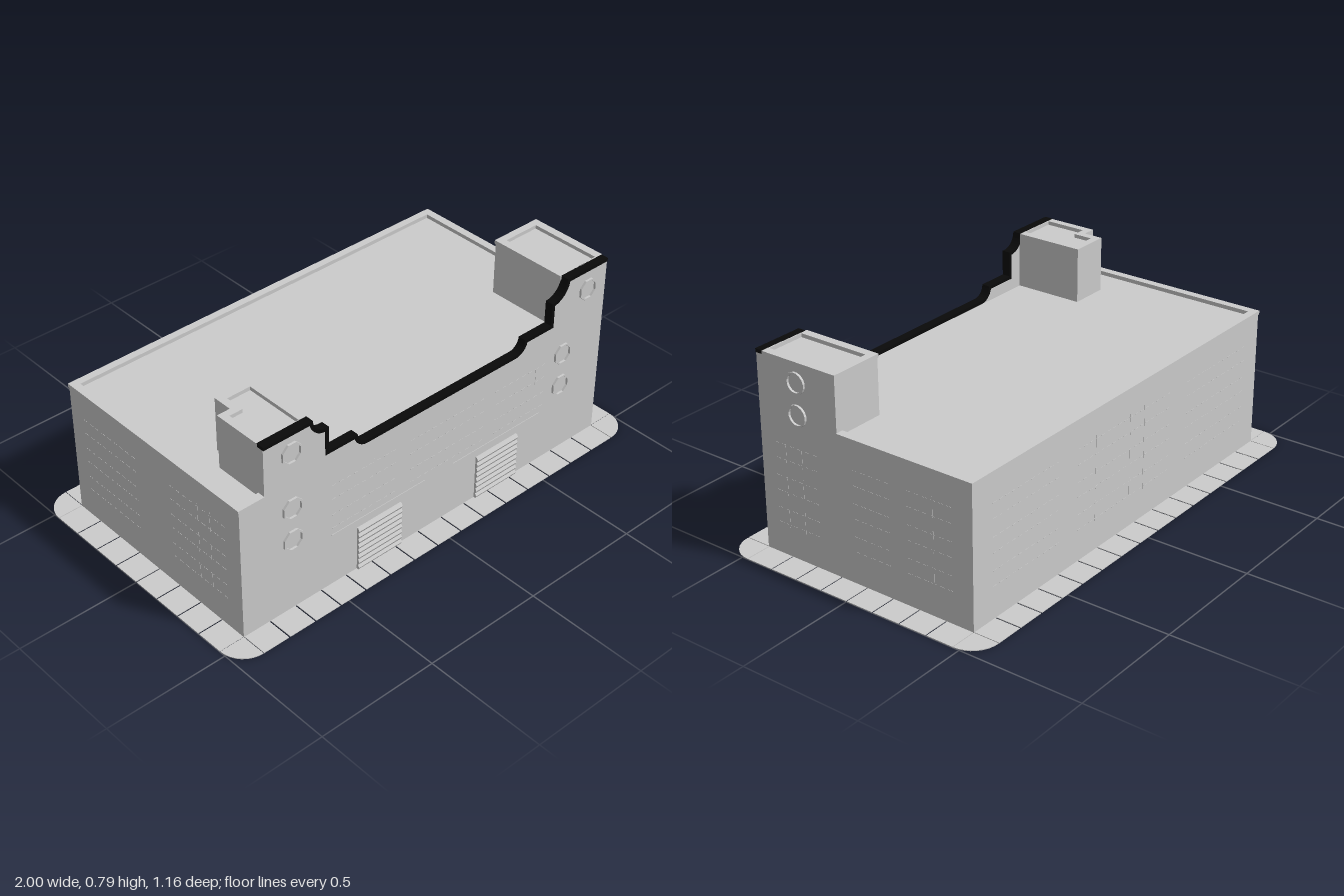
import * as THREE from 'three';

const grey = new THREE.MeshStandardMaterial({ color: 0xcccccc, flatShading: true });
const greyBoth = new THREE.MeshStandardMaterial({ color: 0xcccccc, flatShading: true, side: THREE.DoubleSide });
const black = new THREE.MeshStandardMaterial({ color: 0x0a0a0a, flatShading: true });

const X0 = -0.895, X1 = 0.89, Z = 0.475, ROOF = 0.555;

export function createModel() {
  const model = new THREE.Group();

  const add = (name, geometry, material = grey, parent = model) => {
    const mesh = new THREE.Mesh(geometry, material);
    mesh.name = name;
    parent.add(mesh);
    return mesh;
  };
  const group = (name) => {
    const g = new THREE.Group();
    g.name = name;
    model.add(g);
    return g;
  };
  // Box given by its minimum and maximum corners
  const box = (name, x0, x1, y0, y1, z0, z1, parent = model, material = grey) => {
    const m = add(name, new THREE.BoxGeometry(x1 - x0, y1 - y0, z1 - z0), material, parent);
    m.position.set((x0 + x1) / 2, (y0 + y1) / 2, (z0 + z1) / 2);
    return m;
  };
  // Upright prism over an [x, z] footprint, optionally with a hole
  const prism = (name, pts, hole, y0, y1, parent) => {
    const toV = (p) => new THREE.Vector2(p[0], -p[1]);
    const shape = new THREE.Shape(pts.map(toV));
    if (hole) shape.holes.push(new THREE.Path(hole.map(toV)));
    const geo = new THREE.ExtrudeGeometry(shape, { depth: y1 - y0, bevelEnabled: false });
    geo.rotateX(-Math.PI / 2).translate(0, y0, 0);
    return add(name, geo, grey, parent);
  };

  // Hollow main block, open at the bottom
  const shell = new THREE.BoxGeometry(X1 - X0, ROOF, 2 * Z);
  const index = Array.from(shell.index.array);
  index.splice(18, 6);
  shell.setIndex(index);
  shell.clearGroups();
  add('mainBlock', shell, greyBoth).position.set((X0 + X1) / 2, ROOF / 2, 0);

  // Low rim round the roof
  const rim = group('roofRim');
  const top = 0.571;
  box('rimBack', X0 - 0.003, X1 + 0.003, ROOF, top, -Z - 0.003, -0.447, rim);
  box('rimRightSide', X0 - 0.003, -0.865, ROOF, top, -0.447, Z + 0.002, rim);
  box('rimLeftSide', 0.86, X1 + 0.003, ROOF, top, -0.447, 0.113, rim);
  box('rimFront', -0.865, -0.785, ROOF, top, 0.445, Z + 0.002, rim);

  // Stepped, curved outline of the front parapet
  const outline = [];
  const arc = (cx, cy, r, a0, a1, n = 6) => {
    for (let i = 0; i <= n; i++) {
      const a = ((a0 + ((a1 - a0) * i) / n) * Math.PI) / 180;
      outline.push(new THREE.Vector2(cx + r * Math.cos(a), cy + r * Math.sin(a)));
    }
  };
  const point = (x, y) => outline.push(new THREE.Vector2(x, y));
  point(-0.785, 0.779);
  point(-0.57, 0.779);
  arc(-0.51, 0.779, 0.06, 190, 260);
  point(-0.5, 0.719);
  point(-0.5, 0.617);
  point(-0.368, 0.617);
  arc(-0.322, 0.617, 0.046, 190, 270);
  arc(0.414, 0.617, 0.046, 270, 350);
  point(0.46, 0.617);
  point(0.597, 0.617);
  point(0.597, 0.713);
  arc(0.597, 0.789, 0.076, 280, 352);
  point(0.673, 0.789);
  point(X1, 0.789);

  // Outline moved down its normals, with mitred corners
  const inset = outline.map((p, i) => {
    const dir = (a, b) => b.clone().sub(a).normalize();
    const d0 = dir(outline[Math.max(i - 1, 0)], i ? p : outline[1]);
    const d1 = i < outline.length - 1 ? dir(p, outline[i + 1]) : d0;
    const n0 = new THREE.Vector2(d0.y, -d0.x), n1 = new THREE.Vector2(d1.y, -d1.x);
    const m = n0.clone().add(n1);
    return p.clone().addScaledVector(m, 0.014 / Math.max(0.5, 1 + n0.dot(n1)));
  });
  const slab = (pts, z0, z1) =>
    new THREE.ExtrudeGeometry(new THREE.Shape(pts), { depth: z1 - z0, bevelEnabled: false }).translate(0, 0, z0);
  const foot = [new THREE.Vector2(X1, 0.55), new THREE.Vector2(-0.785, 0.55)];
  add('frontParapet', slab([...inset, ...foot], 0.446, Z));
  add('parapetCoping', slab([...outline, ...inset.slice().reverse()], 0.444, 0.478), black);

  // Roof towers behind both ends of the parapet
  const right = group('rightTower');
  const foot1 = [[-0.785, 0.446], [-0.57, 0.446], [-0.57, 0.16], [-0.73, 0.16], [-0.73, 0.24], [-0.785, 0.24]];
  const hole1 = [[-0.755, 0.44], [-0.6, 0.44], [-0.6, 0.19], [-0.7, 0.19], [-0.7, 0.27], [-0.755, 0.27]];
  prism('towerWalls', foot1, null, ROOF, 0.762, right);
  prism('towerRim', foot1, hole1, 0.762, 0.777, right);
  const left = group('leftTower');
  const foot2 = [[0.67, 0.446], [X1, 0.446], [X1, 0.113], [0.67, 0.113]];
  const rim2 = [[0.667, 0.446], [X1 + 0.003, 0.446], [X1 + 0.003, 0.11], [0.667, 0.11]];
  const hole2 = [[0.7, 0.44], [0.86, 0.44], [0.86, 0.14], [0.7, 0.14]];
  prism('towerWalls', foot2, null, ROOF, 0.774, left);
  prism('towerRim', rim2, hole2, 0.774, 0.789, left);

  // Round window frames on the front and on the left tower's side
  const rings = group('roundWindows');
  const ring = (sides, r) => {
    const shape = new THREE.Shape();
    const hole = new THREE.Path();
    for (let i = 0; i < sides; i++) {
      const a = ((i + 0.5) / sides) * Math.PI * 2, c = Math.cos(a), s = Math.sin(a);
      shape[i ? 'lineTo' : 'moveTo'](r * c, r * s);
      hole[i ? 'lineTo' : 'moveTo'](r * 0.83 * c, r * 0.83 * s);
    }
    shape.holes.push(hole);
    return new THREE.ExtrudeGeometry(shape, { depth: 0.009, bevelEnabled: false });
  };
  for (const [x, y] of [[-0.665, 0.693], [-0.665, 0.455], [-0.665, 0.315], [0.79, 0.695], [0.675, 0.455], [0.675, 0.31]])
    add('windowFrame', ring(8, 0.046), grey, rings).position.set(x, y, Z);
  for (const y of [0.709, 0.585]) {
    const m = add('sideWindowFrame', ring(16, 0.042), grey, rings);
    m.rotation.y = Math.PI / 2;
    m.position.set(X1, y, 0.292);
  }

  // Ribbed roller doors with a thin ledge above each
  const ribs = [[0, 0]];
  for (let i = 0; i <= 16; i++) ribs.push([i % 2 ? 0.013 : 0.007, (i * 0.195) / 16]);
  ribs.push([0, 0.195]);
  for (const [a, b] of [[-0.367, -0.155], [0.23, 0.445]]) {
    const shape = new THREE.Shape(ribs.map(([z, y]) => new THREE.Vector2(-z, y)));
    const geo = new THREE.ExtrudeGeometry(shape, { depth: b - a, bevelEnabled: false });
    add('rollerDoor', geo.rotateY(Math.PI / 2).translate(a, 0, Z)).name = 'rollerDoor';
    box('doorLedge', a - 0.12, b + 0.12, 0.229, 0.231, Z, Z + 0.002);
  }

  // Fine broken joints and short uprights on all four walls
  const joints = group('wallJoints');
  const wall = (length, angle, x, z, spans, uprights) => {
    const g = new THREE.Group();
    g.name = 'wallJointLines';
    g.rotation.y = angle;
    g.position.set(x, 0, z);
    joints.add(g);
    for (const y of [0.45, 0.39, 0.32, 0.26, 0.19, 0.13]) {
      for (const [a, b] of spans)
        for (let u = a * length; u < b * length; u += 0.035)
          if (angle || y > 0.25) box('joint', u, u + 0.02, y, y + 0.002, 0, 0.001, g);
    }
    for (const u of uprights)
      for (const y of [0.38, 0.25, 0.12])
        if (angle || y > 0.25) box('upright', u * length, u * length + 0.003, y, y + 0.085, 0, 0.001, g);
  };
  const mid = (X0 + X1) / 2;
  wall(X1 - X0, 0, mid, Z, [[-0.27, -0.1], [-0.06, 0.14], [0.18, 0.32]], [-0.2, -0.16, 0.3]);
  wall(X1 - X0, Math.PI, mid, -Z, [[-0.44, -0.23], [-0.17, 0.15], [0.22, 0.44]], [-0.11, 0.01, 0.06]);
  wall(2 * Z, Math.PI / 2, X1, 0, [[-0.43, -0.22], [-0.05, 0.1], [0.2, 0.42]], [-0.38, -0.3, 0.32]);
  wall(2 * Z, -Math.PI / 2, X0, 0, [[-0.42, -0.1], [0.1, 0.42]], [0.26, 0.33]);

  // Paving slabs with narrow gaps and quarter-round corners
  const paving = group('pavement');
  const H = 0.003, GAP = 0.003, OX = 1, OZ = 0.58;
  const strip = (n, from, to, make) => {
    const step = (to - from) / n;
    for (let i = 0; i < n; i++) make(from + i * step + GAP, from + (i + 1) * step - GAP);
  };
  for (const s of [-1, 1]) {
    const za = s > 0 ? Z : -OZ, xa = s > 0 ? X1 : -OX, xb = s > 0 ? OX : X0;
    strip(15, X0, X1, (a, b) => box('pavingSlab', a, b, 0, H, za, za + OZ - Z, paving));
    strip(8, -Z, Z, (a, b) => box('pavingSlab', xa, xb, 0, H, a, b, paving));
    for (const t of [-1, 1]) {
      // Quarter disc stretched to the pavement's width
      const cx = s > 0 ? X1 : X0;
      const pts = [[cx, t * Z]];
      for (let i = 0; i <= 8; i++) {
        const a = (i / 8) * Math.PI / 2;
        pts.push([cx + (s * OX - cx) * Math.cos(a), t * (Z + (OZ - Z) * Math.sin(a))]);
      }
      prism('pavingCorner', pts, null, 0, H, paving);
    }
  }
  return model;
}
